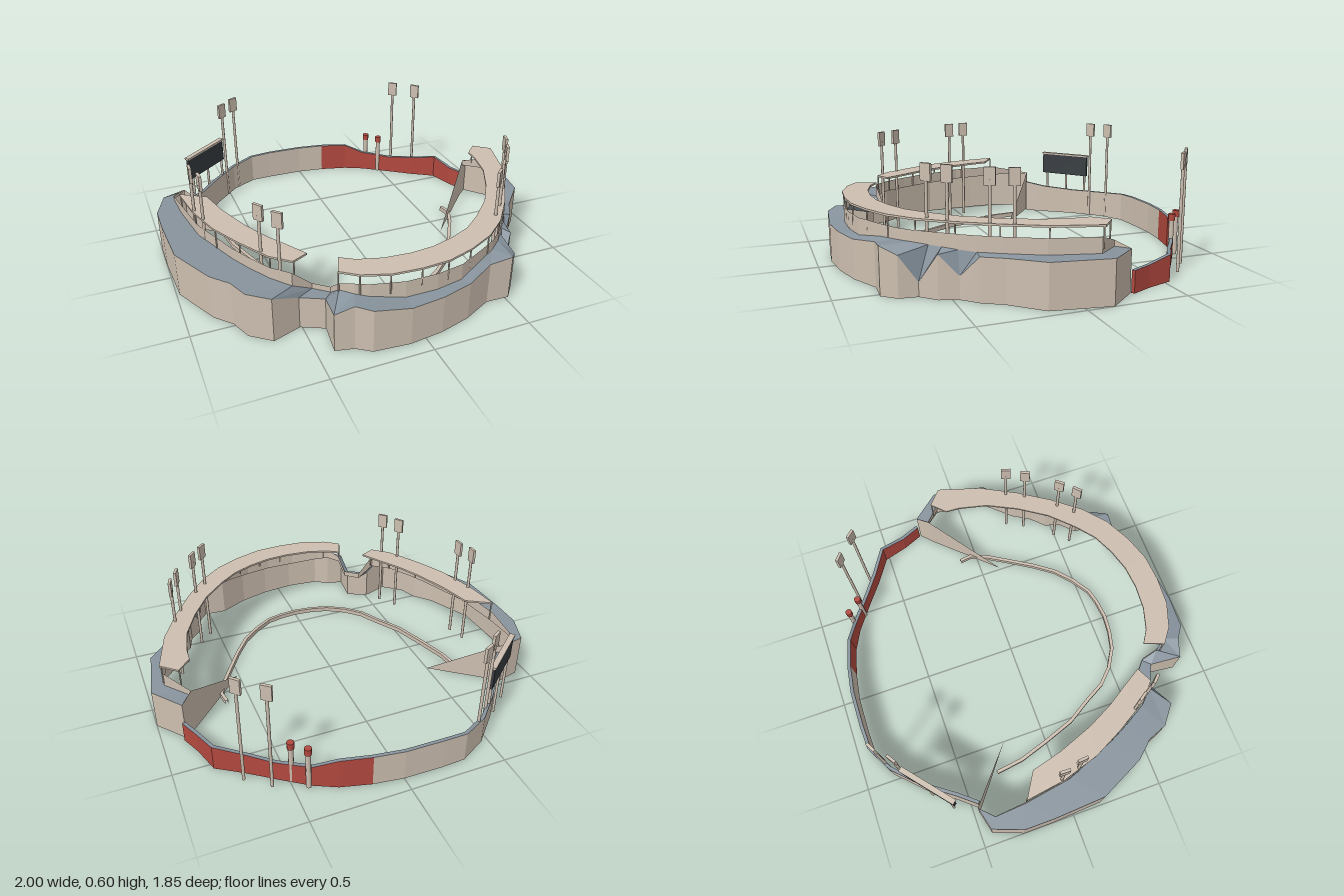
import * as THREE from 'three';

const mat = (name, color) => {
  const m = new THREE.MeshStandardMaterial({ color, side: THREE.DoubleSide });
  m.name = name;
  return m;
};

export function createModel() {
  const root = new THREE.Group();
  const stone = mat('stone', 0xcdbfb0);
  const slate = mat('slate', 0x87939d);
  const red = mat('red', 0xb2493f);
  const dark = mat('board', 0x373c40);

  const add = (name, geo, material, parent = root) => {
    const m = new THREE.Mesh(geo, material);
    m.name = name;
    parent.add(m);
    return m;
  };

  // Flat-shaded ribbon between two rows of [x, y, z] points
  const ribbon = (a, b) => {
    const p = [];
    for (let i = 0; i < a.length - 1; i++) {
      p.push(...a[i], ...b[i], ...b[i + 1], ...a[i], ...b[i + 1], ...a[i + 1]);
    }
    const g = new THREE.BufferGeometry();
    g.setAttribute('position', new THREE.Float32BufferAttribute(p, 3));
    g.computeVertexNormals();
    return g;
  };
  const atY = (row, y) => row.map((p) => [p[0], y, p[2]]);

  const pole = (name, x, z, y0, y1, r, material = stone, parent = root) => {
    const m = add(name, new THREE.CylinderGeometry(r, r, y1 - y0, 10), material, parent);
    m.position.set(x, (y0 + y1) / 2, z);
    return m;
  };

  // Move a row sideways in plan, for wall thickness
  const offset = (row, d) => row.map((p, i) => {
    const a = row[Math.max(0, i - 1)], b = row[Math.min(row.length - 1, i + 1)];
    const dx = b[0] - a[0], dz = b[2] - a[2], l = Math.hypot(dx, dz);
    return [p[0] - (dz / l) * d, p[1], p[2] + (dx / l) * d];
  });

  // Stand: outer rim as [x, height, z], from the rear right round the front to the rear left
  const outer = [
    [-0.94, 0.235, -0.44], [-1, 0.235, -0.28], [-1, 0.235, -0.12], [-0.985, 0.235, 0.16], [-0.87, 0.235, 0.4],
    [-0.79, 0.235, 0.49], [-0.75, 0.235, 0.595], [-0.65, 0.235, 0.675], [-0.51, 0.17, 0.625], [-0.4, 0.17, 0.68],
    [-0.42, 0.2, 0.84], [-0.33, 0.235, 0.86], [-0.26, 0.225, 0.91], [-0.08, 0.2, 0.925], [0.09, 0.2, 0.905],
    [0.25, 0.2, 0.86], [0.4, 0.22, 0.785], [0.52, 0.235, 0.79], [0.58, 0.2, 0.72], [0.59, 0.07, 0.63],
    [0.66, 0.21, 0.56], [0.69, 0.11, 0.47], [0.76, 0.21, 0.4], [0.82, 0.21, 0.3], [0.95, 0.215, 0.16],
    [1, 0.215, -0.13], [0.88, 0.21, -0.275],
  ];
  // Inner edge of the deck as [x, deck height, z, parapet height]
  const inner = [
    [-0.82, 0.235, -0.47, 0.245], [-0.89, 0.235, -0.4, 0.255], [-0.88, 0.235, -0.24, 0.29], [-0.84, 0.235, 0.02, 0.295],
    [-0.73, 0.235, 0.3, 0.295], [-0.68, 0.235, 0.4, 0.295], [-0.61, 0.235, 0.52, 0.295], [-0.53, 0.225, 0.6, 0.295],
    [-0.43, 0.17, 0.58, 0.2], [-0.36, 0.17, 0.64, 0.2], [-0.35, 0.235, 0.72, 0.27], [-0.3, 0.24, 0.78, 0.295],
    [-0.24, 0.23, 0.81, 0.295], [-0.08, 0.208, 0.85, 0.295], [0.08, 0.208, 0.85, 0.295], [0.22, 0.21, 0.825, 0.295],
    [0.37, 0.235, 0.75, 0.295], [0.46, 0.24, 0.7, 0.295], [0.53, 0.24, 0.64, 0.295], [0.58, 0.235, 0.58, 0.295],
    [0.62, 0.23, 0.53, 0.295], [0.67, 0.225, 0.47, 0.295], [0.72, 0.22, 0.4, 0.295], [0.78, 0.22, 0.3, 0.295],
    [0.87, 0.22, 0.13, 0.295], [0.93, 0.22, -0.1, 0.295], [0.82, 0.21, -0.22, 0.24],
  ];
  const deckEdge = inner.map((p) => p.slice(0, 3));
  const parapetTop = inner.map((p) => [p[0], p[3], p[2]]);
  add('standOuterWall', ribbon(atY(outer, 0), outer), stone);
  add('standDeck', ribbon(outer, deckEdge), slate);
  add('standParapet', ribbon(deckEdge, parapetTop), stone);

  // Stand ends, each with a triangular wall falling towards the field
  [[0, [-0.5, 0, -0.22]], [inner.length - 1, [0.51, 0, 0.11]]].forEach(([i, tip]) => {
    const ends = [outer[i], parapetTop[i], tip];
    add('standEndWall', ribbon(atY(ends, 0), ends), stone);
  });

  // Canopies: stone on top, slate below, on slim posts
  const canopy = (out, inn) => {
    const g = new THREE.Group();
    g.name = 'canopy';
    root.add(g);
    const rows = (y) => [out, inn].map((r) => r.map(([x, z]) => [x, y, z]));
    const [to, ti] = rows(0.35), [bo, bi] = rows(0.34);
    add('canopyTop', ribbon(to, ti), stone, g);
    add('canopyUnderside', ribbon(bo, bi), slate, g);
    const n = out.length - 1;
    add('canopyEdge', ribbon([...to, ti[n]], [...bo, bi[n]]), stone, g);
    add('canopyEdge', ribbon([to[0], ...ti], [bo[0], ...bi]), stone, g);
    out.forEach(([x, z], i) => {
      const px = x + (inn[i][0] - x) * 0.06, pz = z + (inn[i][1] - z) * 0.06;
      pole('canopyPost', px, pz, 0.24, 0.342, 0.004, stone, g);
    });
  };
  canopy(
    [[-0.88, -0.23], [-0.85, -0.02], [-0.79, 0.18], [-0.71, 0.34], [-0.61, 0.51], [-0.52, 0.59]],
    [[-0.75, -0.15], [-0.71, 0.01], [-0.64, 0.2], [-0.57, 0.34], [-0.5, 0.45], [-0.44, 0.55]]);
  canopy(
    [[-0.36, 0.74], [-0.28, 0.8], [-0.15, 0.845], [0, 0.855], [0.14, 0.845], [0.28, 0.8], [0.42, 0.73],
      [0.54, 0.63], [0.66, 0.48], [0.77, 0.31], [0.87, 0.12], [0.94, -0.11], [0.86, -0.18]],
    [[-0.32, 0.635], [-0.25, 0.68], [-0.13, 0.715], [0, 0.725], [0.12, 0.715], [0.24, 0.68], [0.35, 0.63],
      [0.45, 0.55], [0.57, 0.43], [0.67, 0.28], [0.75, 0.12], [0.785, -0.03], [0.79, -0.11]]);

  // Outfield wall with a slate coping; its last stretch is red
  const wall = [
    [-0.79, 0.19, -0.455], [-0.71, 0.17, -0.55], [-0.6, 0.155, -0.7], [-0.46, 0.155, -0.84], [-0.32, 0.165, -0.915],
    [-0.2, 0.17, -0.92], [0, 0.17, -0.917], [0.15, 0.17, -0.895], [0.3, 0.165, -0.855], [0.41, 0.117, -0.8],
    [0.55, 0.105, -0.7], [0.67, 0.118, -0.61], [0.8, 0.135, -0.525], [0.84, 0.112, -0.39], [0.885, 0.11, -0.285],
  ];
  const face = offset(wall, 0.009), back = offset(wall, -0.009);
  const n = wall.length;
  [[0, 8, stone], [7, n, red]].forEach(([s, e, m]) => [face, back].forEach((row) => {
    const part = row.slice(s, e);
    add('outfieldWall', ribbon(atY(part, 0), part), m);
  }));
  add('outfieldCoping', ribbon(face, back), slate);
  [[0, stone], [n - 1, red]].forEach(([i, m]) => {
    const end = [face[i], back[i]];
    add('outfieldWallEnd', ribbon(atY(end, 0), end), m);
  });

  // Low kerb around the infield
  const kerb = [
    [-0.65, -0.31], [-0.63, -0.16], [-0.58, 0], [-0.52, 0.17], [-0.44, 0.3], [-0.38, 0.41], [-0.3, 0.49], [-0.2, 0.55],
    [-0.1, 0.575], [0, 0.585], [0.1, 0.575], [0.18, 0.555], [0.28, 0.49], [0.37, 0.41], [0.45, 0.3], [0.53, 0.17],
    [0.59, 0.07], [0.635, -0.03], [0.625, -0.1],
  ].map(([x, z]) => [x, 0.025, z]);
  const k1 = offset(kerb, 0.009), k2 = offset(kerb, -0.009);
  add('infieldKerbTop', ribbon(k1, k2), stone);
  [k1, k2].forEach((k) => add('infieldKerbSide', ribbon(atY(k, 0), k), stone));

  // Floodlight towers, each panel turned to the field
  [
    [-0.84, -0.03], [-0.815, 0.07], [-0.63, 0.455], [-0.57, 0.55], [0.545, 0.575], [0.615, 0.5],
    [0.735, 0.345], [0.785, 0.25], [0.585, -0.74], [0.695, -0.65], [-0.51, -0.78], [-0.425, -0.855],
  ].forEach(([x, z]) => {
    const g = new THREE.Group();
    g.name = 'floodlight';
    g.position.set(x, 0, z);
    g.rotation.y = Math.atan2(-x, -z);
    root.add(g);
    pole('floodlightPole', 0, 0, 0, 0.54, 0.008, stone, g);
    add('floodlightPanel', new THREE.BoxGeometry(0.052, 0.08, 0.014), stone, g).position.y = 0.555;
  });

  // Scoreboard on three legs
  const board = new THREE.Group();
  board.name = 'scoreboard';
  board.position.set(-0.65, 0, -0.67);
  board.rotation.y = Math.atan2(0.2, 0.24);
  root.add(board);
  add('scoreboardFace', new THREE.BoxGeometry(0.31, 0.125, 0.018), dark, board).position.y = 0.315;
  add('scoreboardCap', new THREE.BoxGeometry(0.32, 0.01, 0.028), stone, board).position.y = 0.382;
  [-0.125, 0.01, 0.14].forEach((x) => pole('scoreboardLeg', x, 0, 0, 0.26, 0.007, stone, board));

  // Chimneys with red caps beside the red wall
  [[0.43, -0.805], [0.49, -0.74]].forEach(([x, z]) => {
    pole('chimney', x, z, 0, 0.21, 0.013);
    pole('chimneyCap', x, z, 0.205, 0.24, 0.018, red);
  });

  return root;
}
